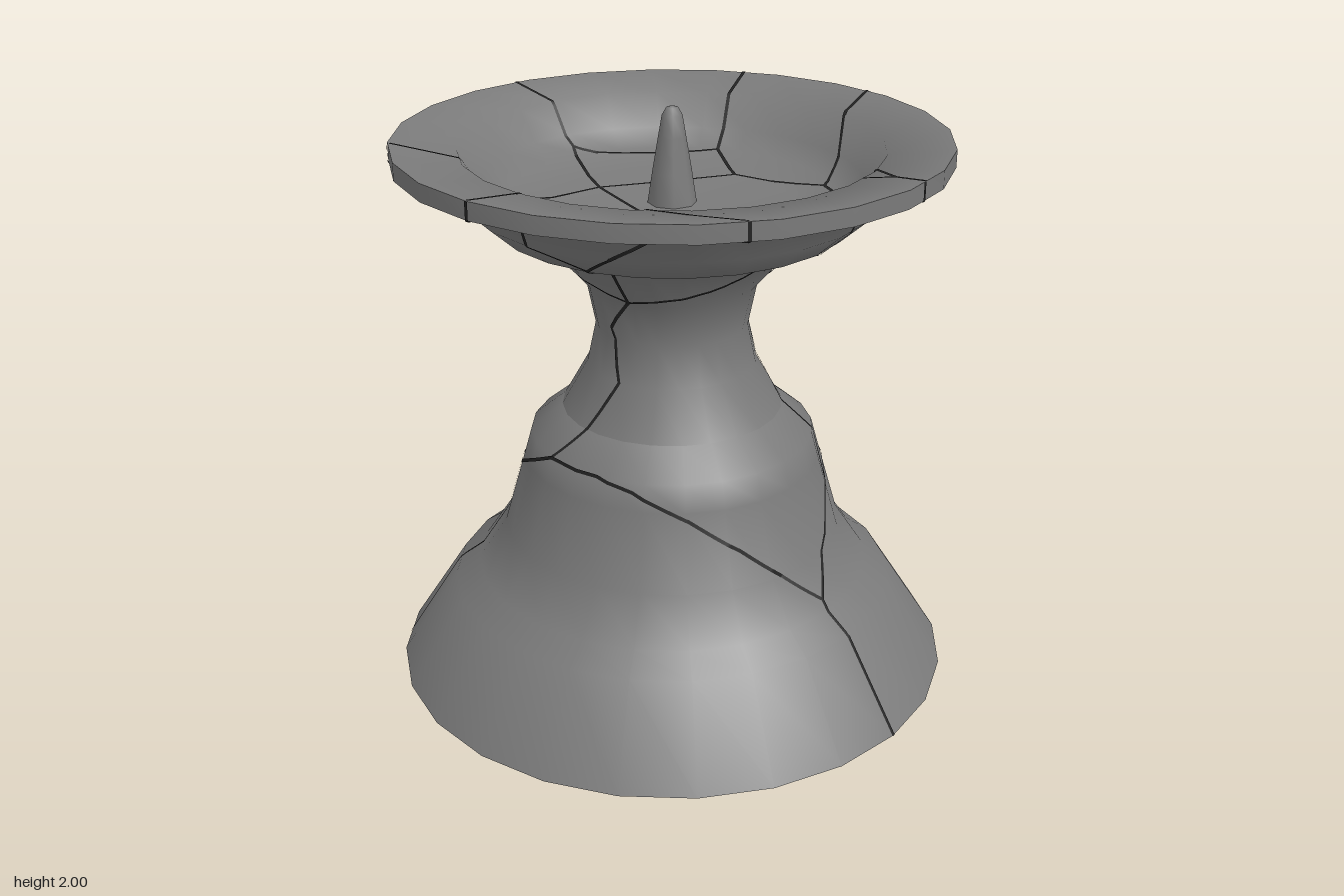
import * as THREE from 'three';
import { toCreasedNormals } from 'three/addons/utils/BufferGeometryUtils.js';

const SIDES = 24, STEP = Math.PI * 2 / SIDES, LIFT = 0.003, HALF_WIDTH = 0.006;

// Profiles as [radius, height]: outside from foot to rim, inside from rim to bowl floor
const foot = [[0.975, 0], [0.775, 0.31], [0.69, 0.37], [0.59, 0.52], [0.515, 0.78], [0.49, 0.87], [0.38, 0.96]];
const stem = [[0.38, 0.96], [0.29, 1.12], [0.26, 1.26], [0.29, 1.41], [0.43, 1.57]];
const bowl = [[0.43, 1.57], [0.59, 1.62], [0.68, 1.7], [0.72, 1.815], [0.92, 1.84], [0.92, 1.9]];
const inner = [[0.92, 1.9], [0.7, 1.87], [0.63, 1.76], [0.55, 1.705], [0.4, 1.68], [0, 1.675]];
const outer = [...foot, ...stem.slice(1), ...bowl.slice(1)];

const stone = new THREE.MeshStandardMaterial({ color: 0x7a7a7a });
const dark = new THREE.MeshStandardMaterial({ color: 0x222222, side: THREE.DoubleSide });

// How far the flat sides lie inside the full circle at a given angle
function facet(phi) {
  const a = ((phi % STEP) + STEP) % STEP - STEP / 2;
  return Math.cos(STEP / 2) / Math.cos(a);
}

// Interpolates a profile along one of its coordinates; gives radius, height and normal
function onProfile(profile, axis, value) {
  let i = 0;
  const dir = axis === 1 ? 1 : -1;
  while (i < profile.length - 2 && (value - profile[i + 1][axis]) * dir > 0) i++;
  const [a, b] = [profile[i], profile[i + 1]];
  const t = THREE.MathUtils.clamp((value - a[axis]) / (b[axis] - a[axis]), 0, 1);
  const [dr, dy] = [b[0] - a[0], b[1] - a[1]], len = Math.hypot(dr, dy);
  return { r: a[0] + dr * t, y: a[1] + dy * t, nr: dy / len, ny: -dr / len };
}

function place(phi, s) {
  const r = s.r * facet(phi);
  const normal = new THREE.Vector3(Math.sin(phi) * s.nr, s.ny, Math.cos(phi) * s.nr);
  const point = new THREE.Vector3(Math.sin(phi) * r, s.y, Math.cos(phi) * r);
  return { point: point.addScaledVector(normal, LIFT), normal };
}

// Three surfaces a crack can follow
const onOutside = (deg, y) => place(THREE.MathUtils.degToRad(deg), onProfile(outer, 1, y));
const onInside = (x, z) => {
  const phi = Math.atan2(x, z);
  return place(phi, onProfile(inner, 0, Math.min(0.92, Math.hypot(x, z) / facet(phi))));
};
const onUnderside = (deg, r) =>
  place(THREE.MathUtils.degToRad(deg), { r, y: 0, nr: 0, ny: -1 });

// Thin ribbon following a polyline across a surface
function crack(path, surface, name) {
  const samples = [];
  path.slice(1).forEach((b, i) => {
    const a = path[i];
    for (let k = i ? 1 : 0; k <= 32; k++) {
      const t = k / 32;
      samples.push(surface(a[0] + (b[0] - a[0]) * t, a[1] + (b[1] - a[1]) * t));
    }
  });
  const pos = [], index = [], last = samples.length - 1;
  samples.forEach(({ point, normal }, i) => {
    const along = samples[Math.min(i + 1, last)].point.clone().sub(samples[Math.max(i - 1, 0)].point);
    const side = normal.clone().cross(along).normalize().multiplyScalar(HALF_WIDTH);
    pos.push(...point.clone().add(side).toArray(), ...point.clone().sub(side).toArray());
    const v = i * 2;
    if (i < last) index.push(v, v + 1, v + 2, v + 1, v + 3, v + 2);
  });
  const g = new THREE.BufferGeometry();
  g.setAttribute('position', new THREE.Float32BufferAttribute(pos, 3));
  g.setIndex(index);
  g.computeVertexNormals();
  const mesh = new THREE.Mesh(g, dark);
  mesh.name = name;
  return mesh;
}

// Cracks on the foot and stem: [degrees from the front, height]
const stemCracks = [
  [[0, 0], [0, 0.41], [-12, 0.525], [-26, 0.64], [-44, 0.755], [-65, 0.84], [-80, 0.87], [-105, 0.87], [-122, 0.8], [-145, 0.7], [-142, 0]],
  [[0, 0.41], [14, 0.555], [30, 0.7], [50, 0.75], [68, 0.78], [90, 0.78], [110, 0.745], [125, 0.69], [160, 0.78], [173, 0.79], [193, 0.745], [215, 0.7]],
  [[30, 0.7], [35, 0.87], [45, 1.1], [50, 1.25], [54, 1.38], [38, 1.43], [18, 1.48], [0, 1.58], [-23, 1.5], [-42, 1.46], [-78, 1.42]],
  [[125, 0.69], [120, 0.37], [118, 0]],
  [[160, 0.78], [161, 0.52], [160, 0.33], [158, 0]],
  [[160, 0.79], [156, 1], [153, 1.2], [130, 1.37], [98, 1.45], [54, 1.38]],
  [[-105, 0.87], [-87, 1.12], [-98, 1.3], [-78, 1.42], [-130, 1.52], [-176, 1.54]],
  [[130, 1.37], [160, 1.47], [184, 1.54], [172, 1.63]],
  [[98, 1.45], [98, 1.52], [70, 1.57], [44, 1.62]],
  [[98, 1.52], [115, 1.64]],
];

// Cracks under the bowl and across the rim edge
const bowlCracks = [
  [[0, 1.58], [3, 1.65], [7, 1.74], [8, 1.815], [6, 1.84], [6, 1.9]],
  [[8, 1.77], [16, 1.71], [24, 1.65], [44, 1.62], [65, 1.7], [78, 1.815], [80, 1.84], [80, 1.9]],
  [[172, 1.63], [115, 1.64], [115, 1.815], [112, 1.84], [112, 1.9]],
  [[172, 1.63], [166, 1.815], [168, 1.84], [168, 1.9]],
  [[-78, 1.42], [-75, 1.63], [-66, 1.7], [-50, 1.815], [-36, 1.84], [-36, 1.9]],
  [[-75, 1.63], [-90, 1.7], [-90, 1.815], [-90, 1.84], [-90, 1.9]],
  [[-130, 1.52], [-133, 1.63], [-134, 1.815], [-134, 1.84], [-134, 1.9]],
];

// Cracks inside the bowl: [x, z]
const insideCracks = [
  [[0.18, -0.9], [0.13, -0.57], [-0.05, -0.28], [0.36, -0.02], [0.4, 0.33], [0.25, 0.57], [0.12, 0.79], [0.1, 0.91]],
  [[0.36, -0.02], [0.5, -0.21], [0.84, -0.36]],
  [[0.13, -0.57], [0.5, -0.21]],
  [[0.4, 0.33], [0.55, 0.28], [0.7, 0.2], [0.9, 0.15]],
  [[-0.05, -0.28], [-0.55, -0.38], [-0.66, -0.63]],
  [[-0.55, -0.38], [-0.67, 0], [-0.92, 0]],
  [[-0.67, 0], [-0.61, 0.12], [-0.54, 0.74]],
  [[-0.61, 0.12], [-0.17, 0.03], [-0.05, -0.28]],
  [[-0.17, 0.03], [0.12, 0.79]],
];

// Turned part: soft bends stay smooth, only the rim and foot edges are sharp
function lathe(profile, sides, name) {
  const g = new THREE.LatheGeometry(profile.map(([r, y]) => new THREE.Vector2(r, y)), sides);
  const mesh = new THREE.Mesh(toCreasedNormals(g, 1.2), stone);
  mesh.name = name;
  return mesh;
}

export function createModel() {
  const model = new THREE.Group();
  model.name = 'crackedCandleHolder';

  // Foot, stem and dished bowl
  model.add(lathe([[0, 0], ...foot], SIDES, 'foot'));
  model.add(lathe(stem, SIDES, 'stem'));
  model.add(lathe([...bowl, ...inner.slice(1)], SIDES, 'bowl'));

  // Candle spike standing in the bowl
  model.add(lathe([[0.084, 1.66], [0.066, 1.78], [0.046, 1.9], [0.034, 1.97], [0.02, 1.995], [0, 2]], 8, 'candleSpike'));

  // Fracture lines
  const cracks = new THREE.Group();
  cracks.name = 'cracks';
  stemCracks.forEach(p => cracks.add(crack(p, onOutside, 'stemCrack')));
  bowlCracks.forEach(p => cracks.add(crack(p, onOutside, 'bowlCrack')));
  insideCracks.forEach(p => cracks.add(crack(p, onInside, 'insideCrack')));
  [0, 118, 158, 218].forEach(d => cracks.add(crack([[d, 0.02], [d, 0.97]], onUnderside, 'undersideCrack')));
  model.add(cracks);
  return model;
}
